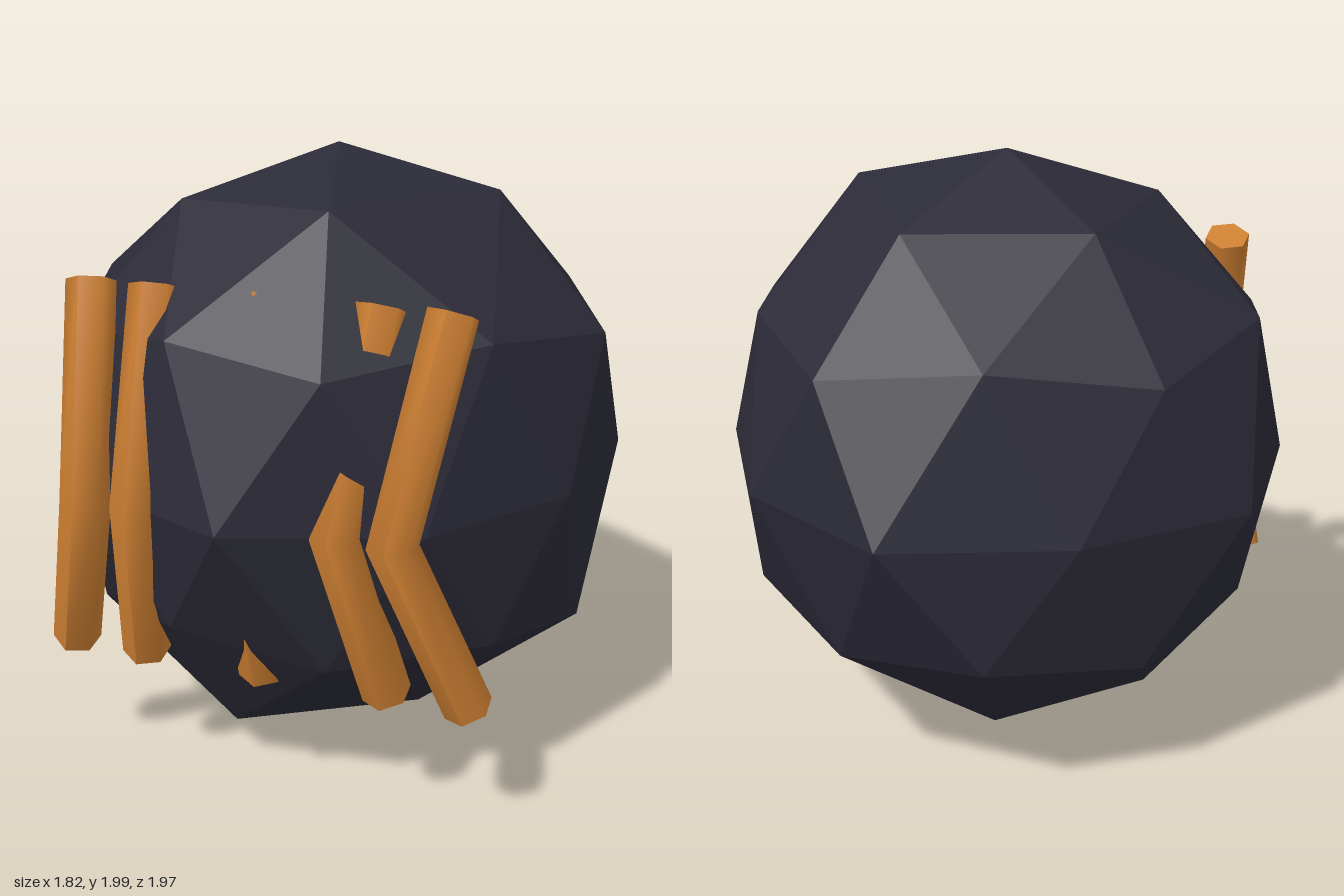
import * as THREE from 'three';

const CENTER = new THREE.Vector3(0.012, 1.013, 0.003);

// Radius of each vertex by latitude row, in order of azimuth (from +x towards +z)
const ROWS = [
  { y: 1, radii: [0.985] },
  { y: 0.851, start: 0, radii: [1.016, 1.01, 0.97, 0.955, 0.937] },
  { y: 0.526, start: 36, radii: [0.96, 0.945, 0.993, 0.96, 0.955] },
  { y: 0.447, start: 0, radii: [0.99, 1.01, 0.96, 0.97, 0.967] },
  { y: 0, start: 18, radii: [0.905, 0.95, 0.977, 0.94, 0.92, 0.975, 0.915, 0.99, 0.938, 0.94] },
  { y: -0.447, start: 36, radii: [0.96, 0.92, 0.925, 0.967, 0.95] },
  { y: -0.526, start: 0, radii: [0.993, 0.93, 0.95, 0.95, 0.95] },
  { y: -0.851, start: 36, radii: [0.925, 1.01, 0.977, 0.95, 0.925] },
  { y: -1, radii: [1.01] },
];

function radiusAt(v) {
  const row = ROWS.reduce((a, b) => (Math.abs(b.y - v.y) < Math.abs(a.y - v.y) ? b : a));
  const n = row.radii.length;
  if (n === 1) return row.radii[0];
  const azimuth = THREE.MathUtils.radToDeg(Math.atan2(v.z, v.x));
  const k = Math.round((azimuth - row.start) / (360 / n));
  return row.radii[((k % n) + n) % n];
}

// Faceted, slightly uneven ball with one vertex straight up
function boulderGeometry() {
  const geo = new THREE.IcosahedronGeometry(1, 1);
  geo.rotateZ(-Math.atan(2 / (1 + Math.sqrt(5))));
  const pos = geo.attributes.position;
  const v = new THREE.Vector3();
  for (let i = 0; i < pos.count; i++) {
    v.fromBufferAttribute(pos, i);
    v.multiplyScalar(radiusAt(v)).add(CENTER);
    pos.setXYZ(i, v.x, v.y, v.z);
  }
  geo.computeVertexNormals();
  return geo;
}

// Six-sided rod bent once, running through three points from bottom to top
function bentRodGeometry(points, radius) {
  const geo = new THREE.CylinderGeometry(radius, radius, 2, 6, 2);
  const up = new THREE.Vector3(0, 1, 0);
  const turns = points.map((p, i) => {
    const a = points[Math.max(i - 1, 0)];
    const b = points[Math.min(i + 1, 2)];
    return new THREE.Quaternion().setFromUnitVectors(up, b.clone().sub(a).normalize());
  });
  const pos = geo.attributes.position;
  const v = new THREE.Vector3();
  for (let i = 0; i < pos.count; i++) {
    v.fromBufferAttribute(pos, i);
    const ring = Math.round(v.y) + 1;
    v.y = 0;
    v.applyQuaternion(turns[ring]).add(points[ring]);
    pos.setXYZ(i, v.x, v.y, v.z);
  }
  geo.computeVertexNormals();
  return geo;
}

export function createModel() {
  const group = new THREE.Group();
  const darkStone = new THREE.MeshStandardMaterial({ color: 0x2b2a37, flatShading: true });
  darkStone.name = 'darkStone';
  const copper = new THREE.MeshStandardMaterial({ color: 0xcd7f32 });
  copper.name = 'copper';

  const body = new THREE.Mesh(boulderGeometry(), darkStone);
  body.name = 'body';
  group.add(body);

  // Bent rods across the front: x at bottom, bend and top
  const rods = [
    ['outerRod', [0.668, 0.49, 0.575]],
    ['innerRod', [0.41, 0.32, 0.36]],
  ];
  const addRod = (name, [bottom, bend, top], side) => {
    const points = [
      new THREE.Vector3(CENTER.x + side * bottom, 0.44, 0.655),
      new THREE.Vector3(CENTER.x + side * bend, 1.01, 0.85),
      new THREE.Vector3(CENTER.x + side * top, 1.63, 0.605),
    ];
    const rod = new THREE.Mesh(bentRodGeometry(points, 0.077), copper);
    rod.name = name;
    group.add(rod);
  };
  for (const [name, xs] of rods) {
    addRod(name + 'Left', xs, 1);
    addRod(name + 'Right', xs, -1);
  }
  addRod('middleRod', [0, 0, 0], 1);

  return group;
}
